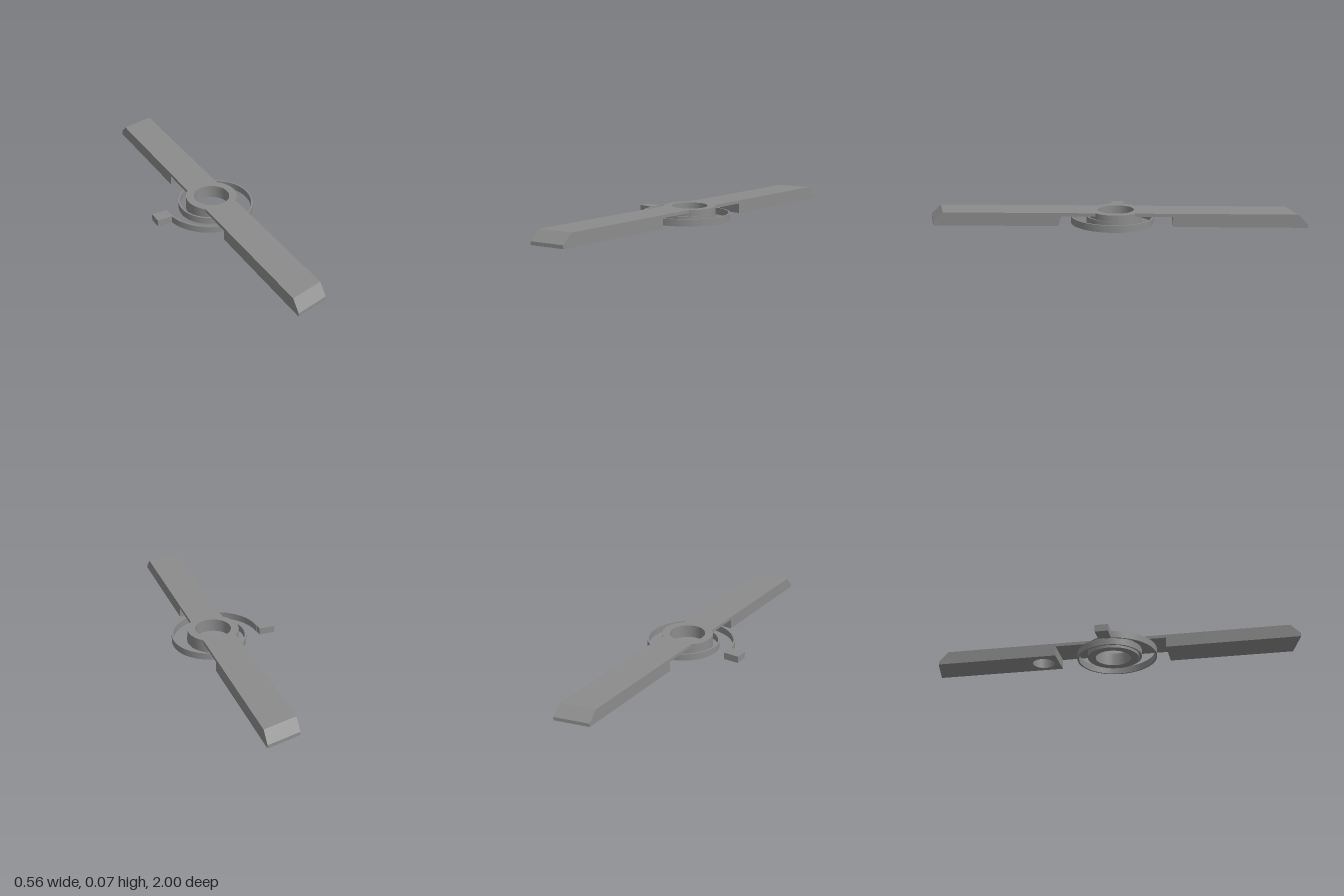
import * as THREE from 'three';
import { toCreasedNormals } from 'three/addons/utils/BufferGeometryUtils.js';

const X0 = -0.033, X1 = 0.148;          // sides of the lever
const CX = 0.058, HUB_R = 0.137, BORE_R = 0.095;
const TOP = 0.07, PLATE_Y = 0.053, SPRING_Y = 0.037, SEAM = 0.5;

export function createModel() {
  const group = new THREE.Group();
  const grey = new THREE.MeshStandardMaterial({ color: 0x8c8c8c });
  grey.name = 'grey';

  const add = (name, geometry) => {
    const mesh = new THREE.Mesh(geometry, grey);
    mesh.name = name;
    group.add(mesh);
  };
  // Extrude a plan shape drawn in (x, z) between two heights
  const slab = (shape, bottom, top) => {
    const g = new THREE.ExtrudeGeometry(shape, { depth: top - bottom, bevelEnabled: false, curveSegments: 48 });
    g.rotateX(Math.PI / 2).translate(0, top, 0);
    return toCreasedNormals(g, 0.5);
  };
  const circle = (x, z, r) => new THREE.Path().absarc(x, z, r, 0, Math.PI * 2, false);
  const rect = (z0, z1) => new THREE.Shape([
    new THREE.Vector2(X0, z0), new THREE.Vector2(X1, z0),
    new THREE.Vector2(X1, z1), new THREE.Vector2(X0, z1)]);

  // Thin bridge plate that swells around the bore
  const a0 = Math.acos((X1 - CX) / HUB_R), a1 = Math.acos((X0 - CX) / HUB_R);
  const plate = new THREE.Shape();
  plate.moveTo(X0, -SEAM).lineTo(X1, -SEAM);
  plate.absarc(CX, 0, HUB_R, -a0, a0, false);
  plate.lineTo(X1, SEAM).lineTo(X0, SEAM);
  plate.absarc(CX, 0, HUB_R, a1, 2 * Math.PI - a1, false);
  plate.closePath();
  plate.holes.push(circle(CX, 0, BORE_R));
  add('bridgePlate', slab(plate, PLATE_Y, TOP));

  // Hub collar below the plate
  const collar = new THREE.Shape().absarc(CX, 0, HUB_R, 0, Math.PI * 2, false);
  collar.holes.push(circle(CX, 0, BORE_R));
  add('hubCollar', slab(collar, 0, PLATE_Y));

  // Arm roots; the back one has a round blind pocket underneath
  const backRoot = rect(-SEAM, -0.3);
  backRoot.holes.push(circle(0.06, -0.385, 0.06));
  add('backArmRoot', slab(backRoot, 0, PLATE_Y));
  add('frontArmRoot', slab(rect(0.3, SEAM), 0, PLATE_Y));

  // Outer arms with bevelled, slanted tips
  const arm = (side, tip) => {
    const profile = [[SEAM, 0], [tip, 0], [tip, 0.018], [tip - 0.052, TOP], [SEAM, TOP]]
      .map(([z, y]) => new THREE.Vector2(side * z, y));
    const g = new THREE.ExtrudeGeometry(new THREE.Shape(profile), { depth: X1 - X0, bevelEnabled: false });
    g.rotateY(-Math.PI / 2).translate(X1, 0, 0);
    const p = g.attributes.position;
    for (let i = 0; i < p.count; i++) {
      if (Math.abs(p.getZ(i)) > 0.8) p.setZ(i, p.getZ(i) - 0.25 * (p.getX(i) - X0));
    }
    g.computeVertexNormals();
    return g;
  };
  add('frontArm', arm(1, 1));
  add('backArm', arm(-1, 0.955));

  // Spiral spring of three half circles that shrink onto the hub
  const outer = [], inner = [], steps = 36, thick = 0.009;
  [[0.039, 0.239], [0.08, 0.198], [0.039, 0.157]].forEach(([cx, r], k) => {
    for (let i = k ? 1 : 0; i <= steps; i++) {
      const a = Math.PI * (1 - k - i / steps);
      const c = Math.cos(a), s = Math.sin(a);
      outer.push(new THREE.Vector2(cx + r * c, r * s));
      inner.push(new THREE.Vector2(cx + (r - thick) * c, (r - thick) * s));
    }
  });
  add('spiralSpring', slab(new THREE.Shape([...outer, ...inner.reverse()]), 0, SPRING_Y));

  // Block at the free end of the spring
  const block = new THREE.BoxGeometry(0.085, SPRING_Y, 0.068);
  block.translate(-0.2375, SPRING_Y / 2, 0);
  add('springEndBlock', block);

  return group;
}
